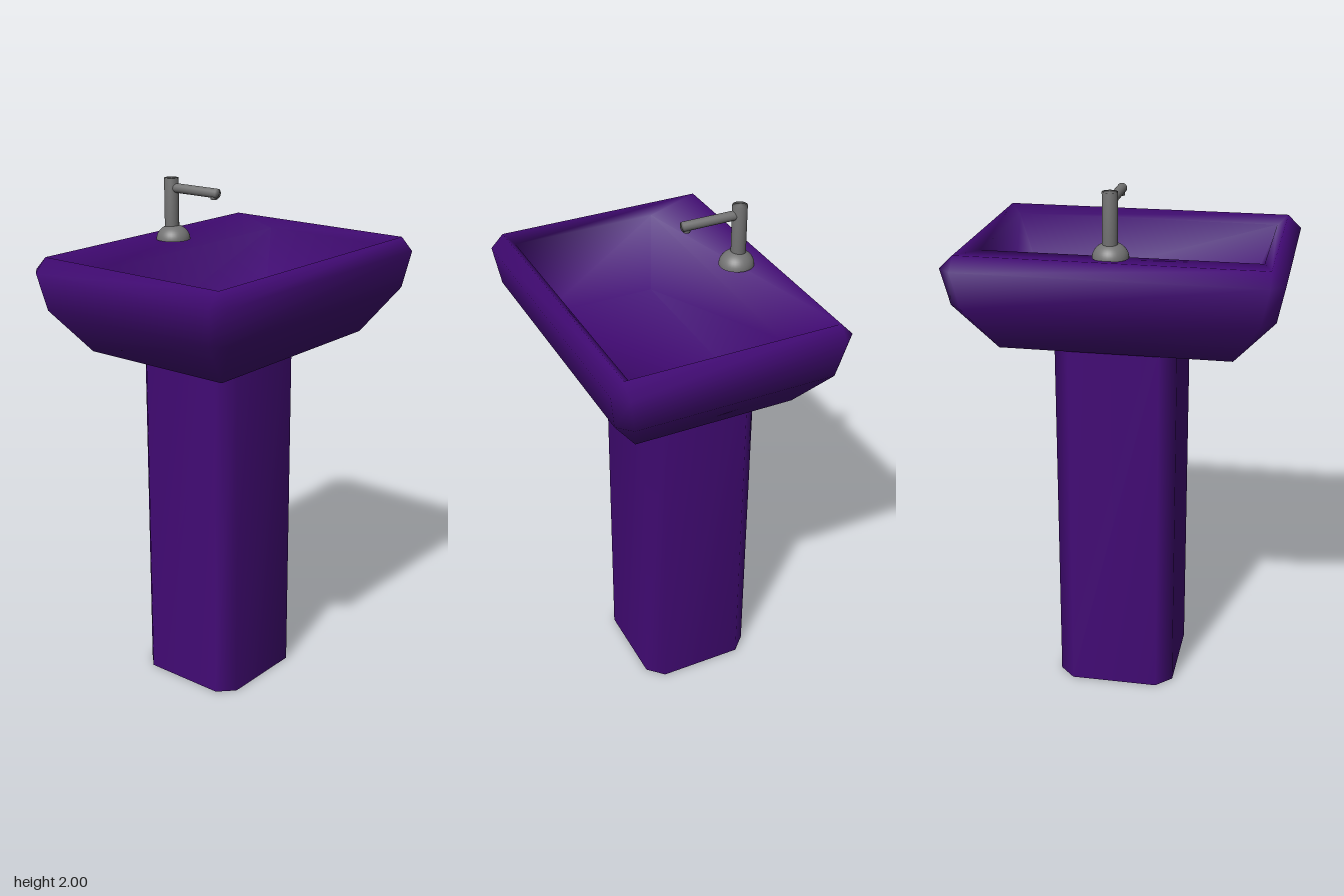
import * as THREE from 'three';
import { mergeVertices } from 'three/addons/utils/BufferGeometryUtils.js';

// Rectangle with cut corners, as eight points
function ring([y, hx, hz, c, cx = 0, cz = 0]) {
  return [
    [hx, -hz + c], [hx, hz - c], [hx - c, hz], [-hx + c, hz],
    [-hx, hz - c], [-hx, -hz + c], [-hx + c, -hz], [hx - c, -hz],
  ].map(([x, z]) => new THREE.Vector3(x + cx, y, z + cz));
}

// Smooth skin through rings, optionally closed at both ends
function loft(sections, closed) {
  const n = 8;
  const index = [];
  for (let r = 0; r < sections.length - 1; r++) {
    for (let i = 0; i < n; i++) {
      const a = r * n + i, a1 = r * n + (i + 1) % n;
      index.push(a, a + n, a1, a1, a + n, a1 + n);
    }
  }
  const last = (sections.length - 1) * n;
  if (closed) {
    for (let i = 1; i < n - 1; i++) {
      index.push(0, i, i + 1, last, last + i + 1, last + i);
    }
  }
  let geometry = new THREE.BufferGeometry().setFromPoints(sections.flatMap(ring));
  geometry.setIndex(index);
  geometry = mergeVertices(geometry);
  geometry.computeVertexNormals();
  return geometry;
}

// Cylinder with shading that runs smoothly over its ends
function softCylinder(radius, length) {
  const source = new THREE.CylinderGeometry(radius, radius, length, 32);
  source.deleteAttribute('normal');
  source.deleteAttribute('uv');
  const geometry = mergeVertices(source);
  geometry.computeVertexNormals();
  return geometry;
}

export function createModel() {
  const model = new THREE.Group();
  const ceramic = new THREE.MeshStandardMaterial({ color: 0x420a75, side: THREE.DoubleSide });
  const metal = new THREE.MeshStandardMaterial({ color: 0x737373 });

  function add(parent, name, geometry, material, x = 0, y = 0, z = 0) {
    const mesh = new THREE.Mesh(geometry, material);
    mesh.name = name;
    mesh.position.set(x, y, z);
    parent.add(mesh);
    return mesh;
  }

  // Hollow column, open at the floor
  add(model, 'pedestal', loft([
    [0, 0.229, 0.229, 0.06, 0.011, -0.067],
    [1.41, 0.229, 0.229, 0.06, 0.011, -0.067],
  ], false), ceramic);

  // Basin: underside, outer wall, rolled rim, then down into the deep bowl
  add(model, 'basin', loft([
    [1.409, 0.229, 0.229, 0.06, 0.011, -0.067],
    [1.409, 0.43, 0.31, 0],
    [1.585, 0.583, 0.43, 0.05],
    [1.725, 0.612, 0.453, 0.05],
    [1.775, 0.56, 0.405, 0],
    [1.742, 0.52, 0.285, 0, 0, 0.085],
    [1.47, 0.42, 0.235, 0, 0, 0.085],
  ], true), ceramic);

  // Tap on the back ledge
  const tap = new THREE.Group();
  tap.name = 'tap';
  tap.position.set(0.015, 0, -0.3);
  model.add(tap);
  const base = add(tap, 'tapBase',
    new THREE.SphereGeometry(0.066, 32, 12, 0, Math.PI * 2, 0, Math.PI / 2), metal, 0, 1.765, 0.006);
  base.scale.y = 0.85;
  add(tap, 'tapColumn', softCylinder(0.028, 0.22), metal, 0, 1.89, 0);
  const spout = add(tap, 'spout', softCylinder(0.018, 0.23), metal, 0, 1.963, 0.115);
  spout.rotation.x = Math.PI / 2;
  add(tap, 'spoutOutlet', softCylinder(0.013, 0.02), metal, 0, 1.95, 0.212);

  return model;
}
